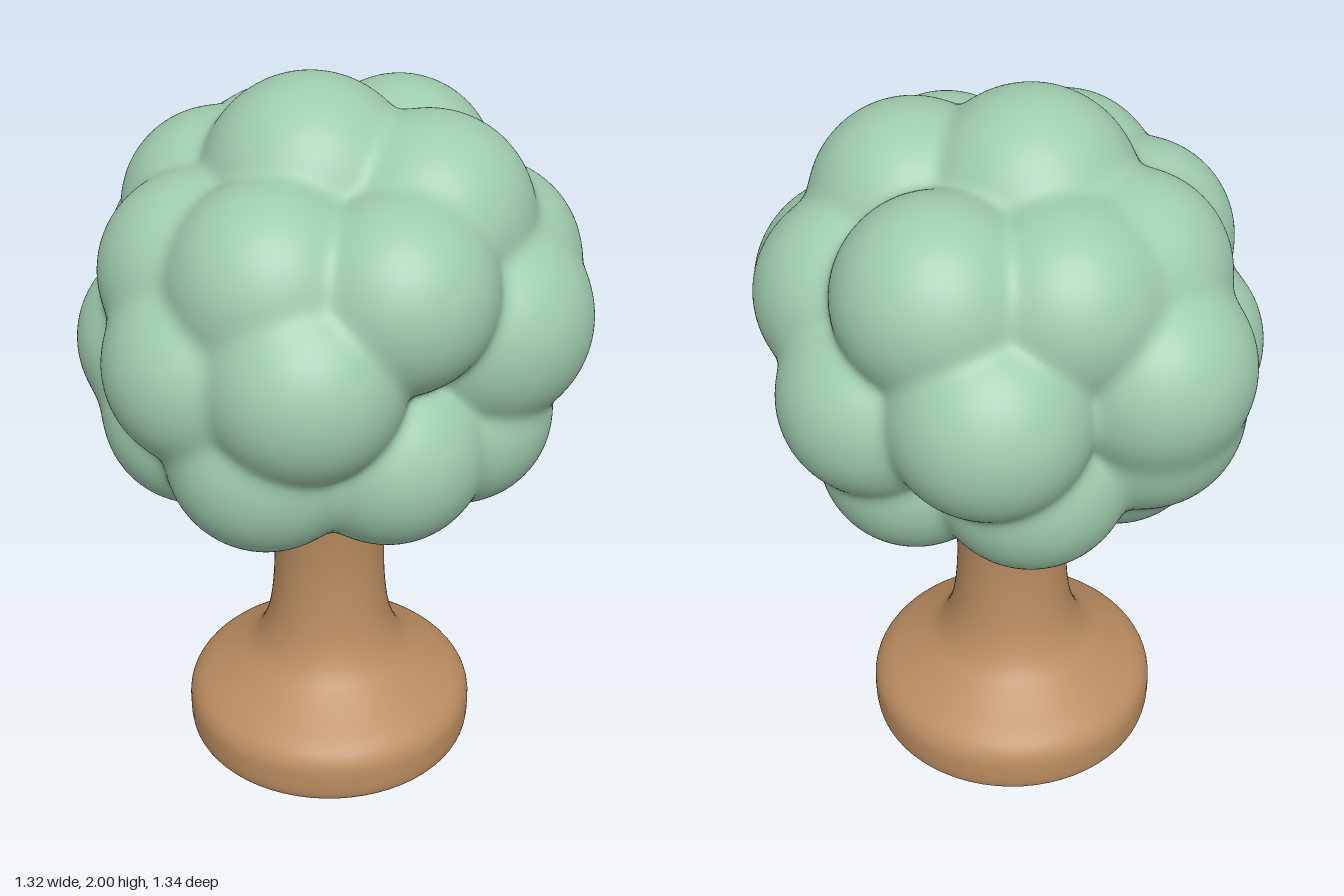
import * as THREE from 'three';
import { mergeVertices } from 'three/addons/utils/BufferGeometryUtils.js';

const CENTRE = new THREE.Vector3(0, 1.4, 0);

// Leaf clumps: x, y, z, radius
const CLUMPS = [
  // crown top
  [-0.05, 1.72, 0.01, 0.28], [0.23, 1.66, 0.13, 0.27], [0.23, 1.62, -0.26, 0.26],
  [-0.26, 1.59, -0.18, 0.26], [-0.08, 1.6, -0.29, 0.26], [-0.34, 1.53, 0.08, 0.26],
  [0.11, 1.57, 0.36, 0.25], [-0.19, 1.58, 0.28, 0.26],
  // middle ring
  [-0.13, 1.38, 0.41, 0.26], [0.37, 1.4, 0.19, 0.28], [-0.35, 1.35, 0.24, 0.26],
  [-0.4, 1.28, -0.05, 0.26], [0.395, 1.48, 0.02, 0.265], [0.38, 1.31, -0.2, 0.255],
  [-0.29, 1.4, -0.33, 0.265], [0.13, 1.37, -0.405, 0.265],
  // lower ring
  [0.1, 1.12, 0.32, 0.255], [-0.21, 1.13, 0.31, 0.26], [0.31, 1.13, 0.18, 0.25],
  [0.28, 1.08, -0.14, 0.255], [0.01, 1.12, -0.32, 0.26], [-0.29, 1.24, -0.27, 0.265],
  [-0.25, 1.08, -0.15, 0.25], [-0.36, 1.12, 0.06, 0.25],
  // underside
  [0.17, 1.06, -0.02, 0.255], [-0.17, 1.06, -0.02, 0.255], [0.0, 1.06, 0.2, 0.23],
].map(([x, y, z, r]) => ({ c: new THREE.Vector3(x, y, z).sub(CENTRE), r }));

// Distance from the crown centre to the clump surface, softly blended at the creases
function crownRadius(dir) {
  const k = 0.016;
  const hits = [0.47];
  for (const { c, r } of CLUMPS) {
    const along = dir.dot(c);
    const disc = r * r - c.lengthSq() + along * along;
    if (disc > 0 && along > 0) hits.push(along + Math.sqrt(disc));
  }
  const far = Math.max(...hits);
  return far + k * Math.log(hits.reduce((s, h) => s + Math.exp((h - far) / k), 0));
}

function crownGeometry() {
  let geo = new THREE.IcosahedronGeometry(1, 48);
  geo.deleteAttribute('normal');
  geo.deleteAttribute('uv');
  geo = mergeVertices(geo, 1e-5);
  const pos = geo.attributes.position;
  const v = new THREE.Vector3();
  for (let i = 0; i < pos.count; i++) {
    v.fromBufferAttribute(pos, i).normalize();
    v.multiplyScalar(crownRadius(v)).add(CENTRE);
    pos.setXYZ(i, v.x, v.y, v.z);
  }
  geo.computeVertexNormals();
  return geo;
}

// Turned trunk flaring into a round foot
function trunkGeometry() {
  const side = new THREE.SplineCurve([
    [0.385, 0.008], [0.403, 0.03], [0.408, 0.08], [0.403, 0.135], [0.37, 0.18],
    [0.29, 0.235], [0.222, 0.29], [0.184, 0.36], [0.164, 0.45], [0.155, 0.58],
    [0.16, 0.7], [0.175, 0.83], [0.18, 0.98],
  ].map(([x, y]) => new THREE.Vector2(x, y))).getPoints(60);
  const foot = [new THREE.Vector2(0, 0), new THREE.Vector2(0.36, 0), new THREE.Vector2(0.375, 0.002)];
  return new THREE.LatheGeometry([...foot, ...side], 64);
}

export function createModel() {
  const leafGreen = new THREE.MeshStandardMaterial({ color: 0x9fccae });
  leafGreen.name = 'leafGreen';
  const barkBrown = new THREE.MeshStandardMaterial({ color: 0xbb8d61 });
  barkBrown.name = 'barkBrown';

  const model = new THREE.Group();
  model.name = 'tree';
  const trunk = new THREE.Mesh(trunkGeometry(), barkBrown);
  trunk.name = 'trunk';
  const crown = new THREE.Mesh(crownGeometry(), leafGreen);
  crown.name = 'crown';
  model.add(trunk, crown);
  return model;
}
